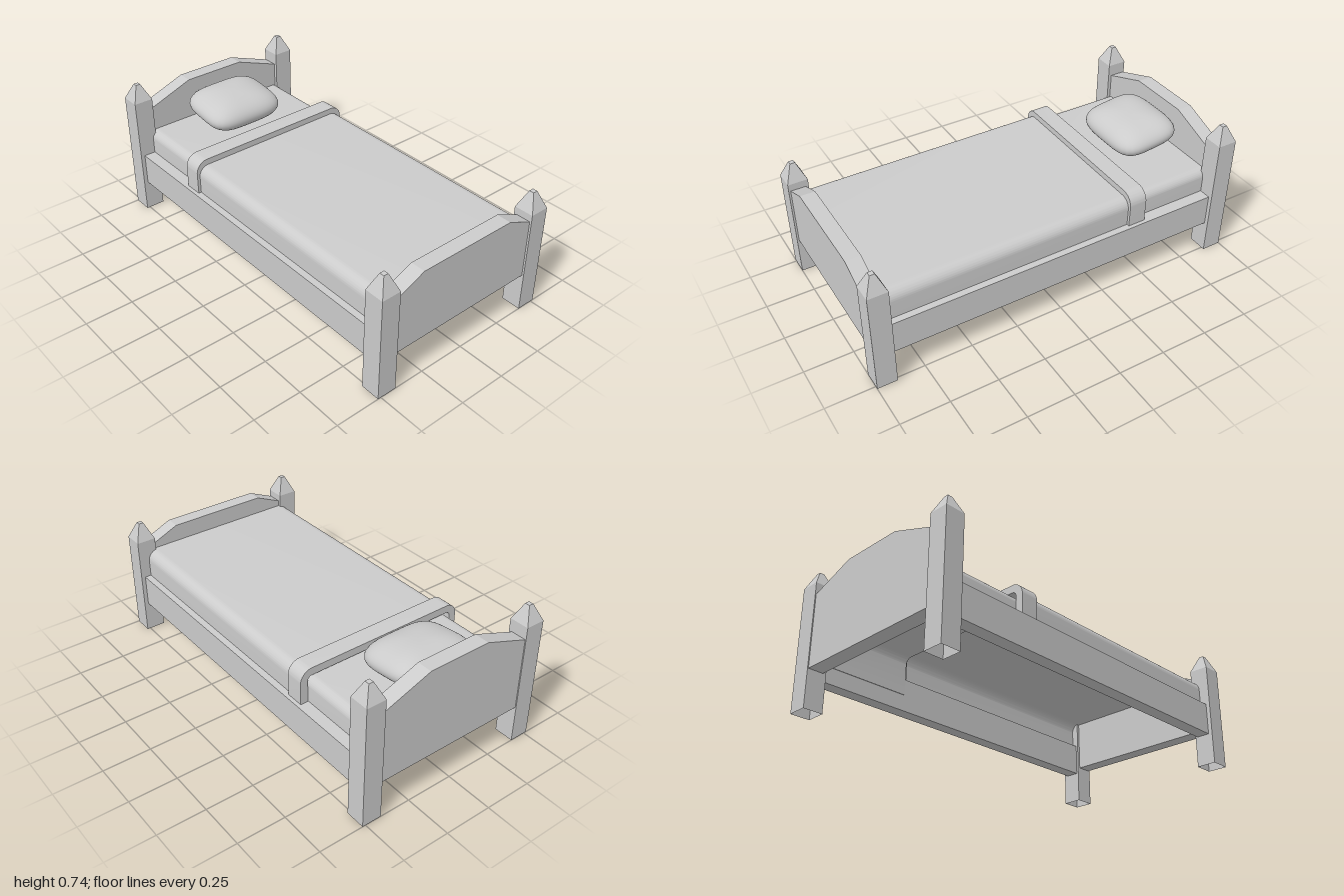
import * as THREE from 'three';
import { mergeVertices, toCreasedNormals } from 'three/addons/utils/BufferGeometryUtils.js';

const wood = new THREE.MeshStandardMaterial({ color: 0xcccccc, flatShading: true, side: THREE.DoubleSide });
const cloth = new THREE.MeshStandardMaterial({ color: 0xcccccc, side: THREE.DoubleSide });

function add(group, name, geometry, material) {
  const mesh = new THREE.Mesh(geometry, material);
  mesh.name = name;
  group.add(mesh);
  return mesh;
}

// Extrudes a shape drawn in (z, y) along x, from x0 to x1
function extrudeAlongX(shape, x0, x1) {
  return new THREE.ExtrudeGeometry(shape, { depth: x1 - x0, bevelEnabled: false, curveSegments: 8 })
    .rotateY(Math.PI / 2)
    .translate(x0, 0, 0);
}

// Square post with a tapered tip, open underneath
function postGeometry(shoulder, top) {
  const r = 0.0515 * Math.SQRT2;
  const tip = 0.0125 * Math.SQRT2;
  const profile = [[r, 0], [r, shoulder], [tip, top], [0, top]].map(p => new THREE.Vector2(...p));
  return new THREE.LatheGeometry(profile, 4, Math.PI / 4);
}

// End board with a flat crest and sloping shoulders
function boardGeometry(x0, x1, corner, crest, crestHalf) {
  const h = 0.414;
  const points = [[-h, 0.2], [h, 0.2], [h, corner], [crestHalf, crest], [-crestHalf, crest], [-h, corner]];
  return extrudeAlongX(new THREE.Shape(points.map(p => new THREE.Vector2(...p))), x0, x1);
}

// Hollow draped cloth: an arch with rounded upper edges
function drapeGeometry(x0, x1, half, top, bottom, thickness, radius) {
  const inner = half - thickness, under = top - thickness, ri = radius - thickness;
  const s = new THREE.Shape();
  s.moveTo(half, bottom);
  s.lineTo(half, top - radius);
  s.absarc(half - radius, top - radius, radius, 0, Math.PI / 2, false);
  s.lineTo(-half + radius, top);
  s.absarc(-half + radius, top - radius, radius, Math.PI / 2, Math.PI, false);
  s.lineTo(-half, bottom);
  s.lineTo(-inner, bottom);
  s.lineTo(-inner, under - ri);
  s.absarc(-inner + ri, under - ri, ri, Math.PI, Math.PI / 2, true);
  s.lineTo(inner - ri, under);
  s.absarc(inner - ri, under - ri, ri, Math.PI / 2, 0, true);
  s.lineTo(inner, bottom);
  s.closePath();
  return toCreasedNormals(extrudeAlongX(s, x0, x1), 0.6);
}

// Sphere reshaped into a soft, rounded rectangle
function pillowGeometry(hx, hy, hz) {
  let g = new THREE.SphereGeometry(1, 48, 28);
  g.deleteAttribute('uv');
  g.deleteAttribute('normal');
  const p = g.attributes.position;
  for (let i = 0; i < p.count; i++) {
    const x = p.getX(i), y = p.getY(i), z = p.getZ(i);
    const r = Math.hypot(x, z);
    const c = r > 1e-6 ? x / r : 0, s = r > 1e-6 ? z / r : 0;
    const k = r > 1e-6 ? Math.pow(r, 0.8) / Math.pow(c ** 4 + s ** 4, 0.25) : 0;
    p.setXYZ(i, c * k * hx, y * hy, s * k * hz);
  }
  g = mergeVertices(g, 1e-5);
  g.computeVertexNormals();
  return g;
}

export function createModel() {
  const bed = new THREE.Group();
  bed.name = 'bed';

  // Posts and side rails, mirrored front to back
  for (const side of [1, -1]) {
    add(bed, 'headPost', postGeometry(0.655, 0.74), wood).position.set(-0.9485, 0, side * 0.465);
    add(bed, 'footPost', postGeometry(0.55, 0.64), wood).position.set(0.9485, 0, side * 0.465);
    add(bed, 'sideRail', new THREE.BoxGeometry(1.82, 0.17, 0.07), wood).position.set(0, 0.25, side * 0.46);
  }

  // Headboard and footboard
  add(bed, 'headboard', boardGeometry(-0.995, -0.915, 0.59, 0.68, 0.168), wood);
  add(bed, 'footboard', boardGeometry(0.912, 0.99, 0.512, 0.575, 0.27), wood);

  // Bedding
  add(bed, 'sheet', drapeGeometry(-0.93, -0.42, 0.432, 0.46, 0.25, 0.01, 0.045), cloth);
  add(bed, 'blanket', drapeGeometry(-0.45, 0.93, 0.46, 0.482, 0.3, 0.01, 0.055), cloth);
  add(bed, 'blanketFold', drapeGeometry(-0.5, -0.405, 0.475, 0.514, 0.31, 0.04, 0.065), cloth);

  // Pillow leaning on the headboard
  const pillow = add(bed, 'pillow', pillowGeometry(0.18, 0.085, 0.22), cloth);
  pillow.position.set(-0.74, 0.555, 0);
  pillow.rotation.z = -0.12;

  return bed;
}
